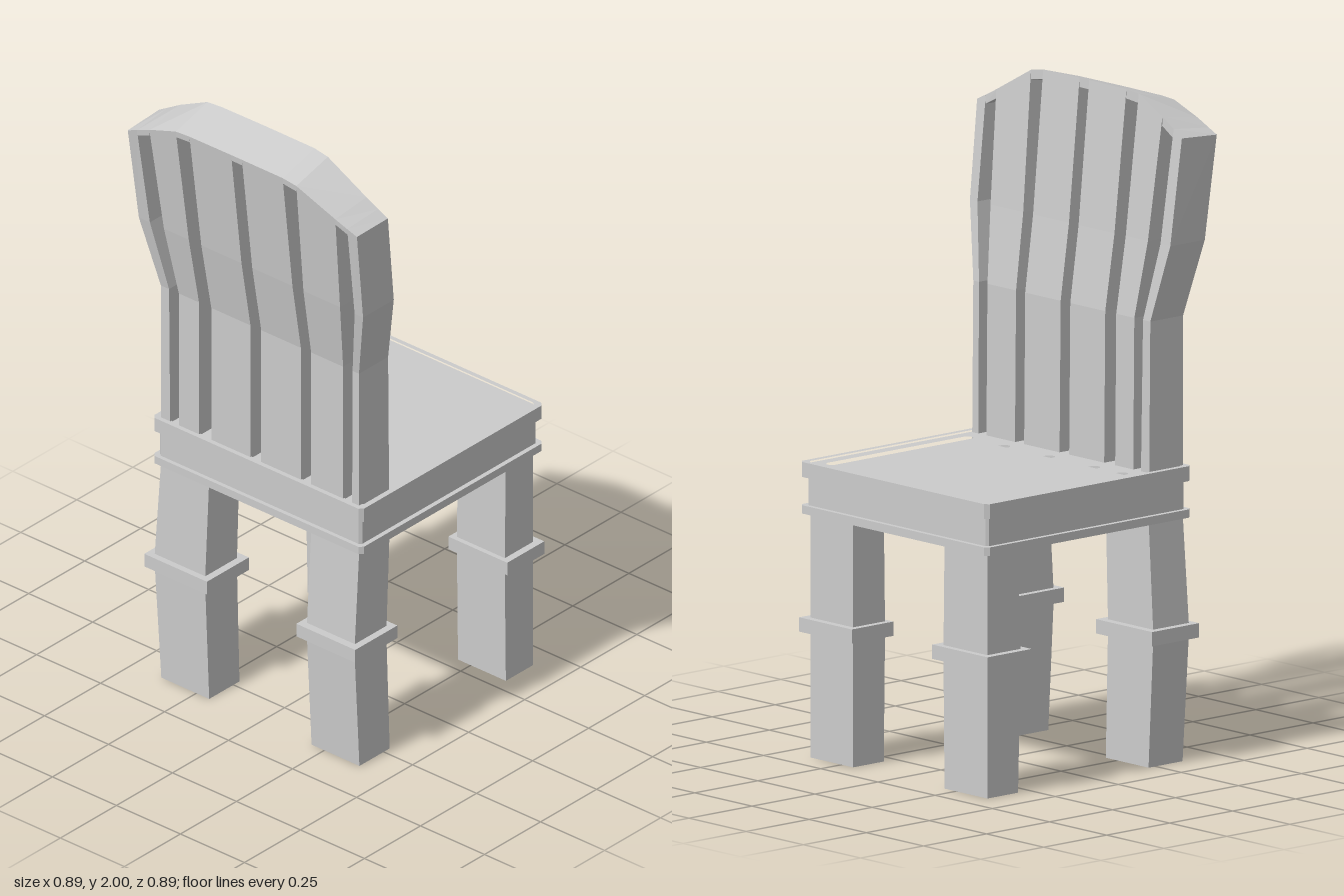
import * as THREE from 'three';

const material = new THREE.MeshStandardMaterial({ color: 0xcccccc, flatShading: true });

// Closed solid through four-cornered rings, each counter-clockwise from above
function loft(rings) {
  const pos = [];
  const quad = (a, b, c, d) => pos.push(...a, ...b, ...c, ...a, ...c, ...d);
  for (let r = 0; r < rings.length - 1; r++) {
    for (let i = 0; i < 4; i++) {
      const j = (i + 1) % 4;
      quad(rings[r][i], rings[r][j], rings[r + 1][j], rings[r + 1][i]);
    }
  }
  quad(...rings[rings.length - 1]);
  quad(...[...rings[0]].reverse());
  const geometry = new THREE.BufferGeometry();
  geometry.setAttribute('position', new THREE.Float32BufferAttribute(pos, 3));
  geometry.computeVertexNormals();
  return geometry;
}

// Level rectangular ring
const rectRing = (y, x0, x1, z0, z1) => [[x1, y, z1], [x1, y, z0], [x0, y, z0], [x0, y, z1]];

// Rectangle with cut corners, as outline points on the ground plane
function cutRect(x0, x1, z0, z1, c) {
  return [[x0 + c, z0], [x1 - c, z0], [x1, z0 + c], [x1, z1 - c], [x1 - c, z1], [x0 + c, z1], [x0, z1 - c], [x0, z0 + c]]
    .map(([x, z]) => new THREE.Vector2(x, -z));
}

// Horizontal plate between two heights, with optional cut-outs
function plate(outline, y0, y1, holes = []) {
  const shape = new THREE.Shape(outline);
  shape.holes = holes.map((h) => new THREE.Path(h));
  return new THREE.ExtrudeGeometry(shape, { depth: y1 - y0, bevelEnabled: false })
    .rotateX(-Math.PI / 2).translate(0, y0, 0);
}

// Piecewise-linear lookup in a list of [key, value], keys ascending
function lerpList(list, k) {
  for (let i = 1; i < list.length; i++) {
    const [k0, v0] = list[i - 1], [k1, v1] = list[i];
    if (k <= k1 || i === list.length - 1) {
      return v0 + (v1 - v0) * THREE.MathUtils.clamp((k - k0) / (k1 - k0), 0, 1);
    }
  }
}

function add(parent, name, geometry) {
  const mesh = new THREE.Mesh(geometry, material);
  mesh.name = name;
  parent.add(mesh);
}

function buildSeat() {
  const seat = new THREE.Group();
  seat.name = 'seat';
  add(seat, 'seatLowerTrim', plate(cutRect(-0.375, 0.44, -0.41, 0.41, 0.012), 0.735, 0.76));
  add(seat, 'seatCore', plate(cutRect(-0.362, 0.425, -0.395, 0.395, 0.008), 0.74, 0.862));
  const inner = cutRect(-0.355, 0.425, -0.392, 0.392, 0.012);
  add(seat, 'seatRim', plate(cutRect(-0.375, 0.44, -0.41, 0.41, 0.012), 0.845, 0.89, [inner]));
  // Panel with five long grooves
  const grooves = [-0.338, -0.217, -0.019, 0.176, 0.338]
    .map((z) => cutRect(-0.18, 0.393, z - 0.018, z + 0.018, 0.012));
  add(seat, 'seatPanel', plate(inner, 0.858, 0.885, grooves));
  return seat;
}

function buildBackrest() {
  const back = new THREE.Group();
  back.name = 'backrest';
  // Lean of the two faces, and the arched top edge
  const frontX = [[0.8, -0.225], [1.34, -0.23], [1.57, -0.263], [1.87, -0.3], [2, -0.305]];
  const rearX = [[0.8, -0.36], [1.34, -0.36], [1.57, -0.4], [1.87, -0.438], [2, -0.446]];
  const arch = [[-0.447, 1.89], [-0.31, 1.972], [-0.25, 1.995], [-0.18, 2], [0.16, 2], [0.217, 1.99], [0.38, 1.9], [0.447, 1.867]];
  const levels = [0.8, 1.34, 1.57];
  // z of every slat and slot edge at the three levels and at the top
  const edges = [
    [0.387, 0.387, 0.438, 0.447],
    [0.36, 0.362, 0.405, 0.41], [0.325, 0.325, 0.348, 0.365],
    [0.2, 0.2, 0.205, 0.217], [0.16, 0.16, 0.162, 0.164],
    [0.005, 0.005, 0.005, 0.005], [-0.037, -0.037, -0.037, -0.037],
    [-0.19, -0.19, -0.194, -0.2], [-0.238, -0.238, -0.243, -0.254],
    [-0.317, -0.317, -0.34, -0.36], [-0.35, -0.355, -0.395, -0.41],
    [-0.387, -0.387, -0.438, -0.447],
  ];
  const ring = (yl, zl, yr, zr) => {
    const drop = (y) => 0.04 * THREE.MathUtils.clamp((y - 1.86) / 0.14, 0, 1);
    const front = (y, z) => [lerpList(frontX, y), y, z];
    const rear = (y, z) => [lerpList(rearX, y), y - drop(y), z];
    return [front(yl, zl), front(yr, zr), rear(yr, zr), rear(yl, zl)];
  };
  for (let i = 0; i < edges.length - 1; i++) {
    const l = edges[i], r = edges[i + 1];
    const yl = lerpList(arch, l[3]), yr = lerpList(arch, r[3]);
    const top = ring(yl, l[3], yr, r[3]);
    if (i % 2 === 0) {
      add(back, 'backSlat', loft([...levels.map((y, k) => ring(y, l[k], y, r[k])), top]));
    } else {
      // Short bridge closing the slot under the arch
      add(back, 'slotBridge', loft([ring(yl - 0.028, l[3], yr - 0.028, r[3]), top]));
    }
  }
  return back;
}

// Leg: bottom, middle and top footprints [x0, x1, z0, z1], and its collar [y, x0, x1, z0, z1]
function buildLeg(name, foot, middle, collar) {
  const leg = new THREE.Group();
  leg.name = name;
  add(leg, name + 'Post', loft([rectRing(0, ...foot), rectRing(0.4, ...middle), rectRing(0.75, ...foot)]));
  const [y, ...c] = collar;
  add(leg, name + 'Collar', loft([rectRing(y, ...c), rectRing(y + 0.043, ...c)]));
  return leg;
}

export function createModel() {
  const chair = new THREE.Group();
  chair.name = 'chair';
  chair.add(buildSeat(), buildBackrest());
  chair.add(
    buildLeg('frontLeftLeg', [0.295, 0.417, 0.2, 0.387], [0.29, 0.417, 0.2, 0.387], [0.378, 0.275, 0.44, 0.18, 0.41]),
    buildLeg('frontRightLeg', [0.295, 0.417, -0.387, -0.2], [0.285, 0.417, -0.387, -0.195], [0.388, 0.262, 0.437, -0.41, -0.168]),
    buildLeg('rearLeftLeg', [-0.358, -0.223, 0.2, 0.387], [-0.38, -0.238, 0.2, 0.387], [0.382, -0.403, -0.215, 0.18, 0.41]),
    buildLeg('rearRightLeg', [-0.358, -0.223, -0.387, -0.2], [-0.365, -0.223, -0.408, -0.21], [0.375, -0.385, -0.198, -0.43, -0.185]),
  );
  return chair;
}
